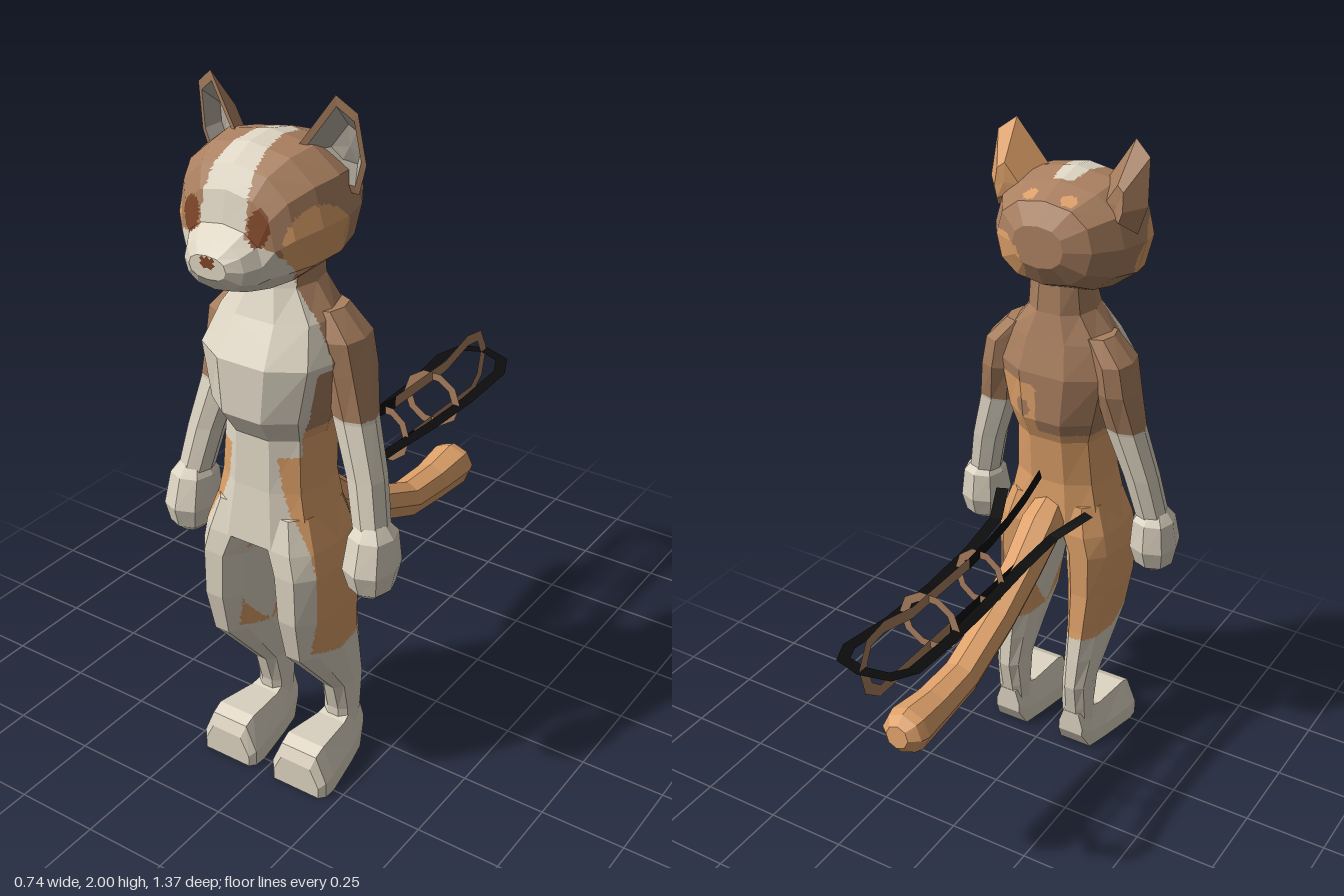
import * as THREE from 'three';

const V = (x, y, z) => new THREE.Vector3(x, y, z);
const mat = (name, color, side = THREE.FrontSide) =>
  Object.assign(new THREE.MeshStandardMaterial({ color, side }), { name });

const CREAM = 0, ORANGE = 1, BROWN = 2, DARK = 3, BLACK = 4, GREY = 5;
const MATS = [
  mat('cream', 0xddd4c2), mat('orange', 0xdda069), mat('brown', 0xaa8060, THREE.DoubleSide),
  mat('darkBrown', 0x7d4527), mat('black', 0x0c0c0c, THREE.DoubleSide), mat('earGrey', 0xb8b0a2),
];

// Rounded cross-section; e < 1 makes it boxier
function section(n, e, place) {
  return Array.from({ length: n }, (_, i) => {
    const a = (i / n) * Math.PI * 2, c = Math.cos(a), s = Math.sin(a);
    return place(Math.sign(c) * Math.abs(c) ** e, Math.sign(s) * Math.abs(s) ** e);
  });
}
const level = (n, y, cx, cz, rx, rz, e = 0.85) => section(n, e, (u, v) => V(cx + u * rx, y, cz + v * rz));

// Closed skin over rings: start cap, bands, end cap. Returns triangles facing outwards.
function loft(rings) {
  const tris = [], n = rings[0].length;
  const mid = r => r.reduce((m, p) => m.add(p), V(0, 0, 0)).divideScalar(n);
  const a = rings[0], b = rings[rings.length - 1], ma = mid(a), mb = mid(b);
  for (let i = 0; i < n; i++) tris.push([ma, a[(i + 1) % n], a[i]]);
  for (let k = 0; k + 1 < rings.length; k++) {
    const p = rings[k], q = rings[k + 1];
    for (let i = 0; i < n; i++) {
      const j = (i + 1) % n;
      tris.push([p[i], p[j], q[j]], [p[i], q[j], q[i]]);
    }
  }
  for (let i = 0; i < n; i++) tris.push([mb, b[i], b[(i + 1) % n]]);
  const volume = tris.reduce((s, [p, q, r]) => s + p.clone().sub(ma).dot(q.clone().sub(ma).cross(r.clone().sub(ma))), 0);
  return volume < 0 ? tris.map(([p, q, r]) => [p, r, q]) : tris;
}

// Faceted mesh whose coat colour follows rule(point, triangleIndex); faces are cut along colour borders
function paint(name, tris, rule, fine = 0.014) {
  const buckets = MATS.map(() => []);
  const cut = (a, b, c, i) => {
    const L = [a.distanceTo(b), b.distanceTo(c), c.distanceTo(a)], m = Math.max(...L);
    const col = rule(a.clone().add(b).add(c).divideScalar(3), i);
    const same = [a, b, c].every(p => rule(p, i) === col);
    if (m < fine || (same && m < 0.05)) {
      buckets[col].push(...a.toArray(), ...b.toArray(), ...c.toArray());
      return;
    }
    if (m === L[1]) [a, b, c] = [b, c, a];
    else if (m === L[2]) [a, b, c] = [c, a, b];
    const h = a.clone().lerp(b, 0.5);
    cut(a, h, c, i);
    cut(h, b, c, i);
  };
  tris.forEach(([a, b, c], i) => {
    if (b.clone().sub(a).cross(c.clone().sub(a)).length() > 1e-8) cut(a, b, c, i);
  });
  const geo = new THREE.BufferGeometry(), used = [];
  let start = 0;
  buckets.forEach((bk, i) => {
    if (!bk.length) return;
    geo.addGroup(start, bk.length / 3, used.length);
    start += bk.length / 3;
    used.push(MATS[i]);
  });
  geo.setAttribute('position', new THREE.Float32BufferAttribute(buckets.flat(), 3));
  geo.computeVertexNormals();
  const mesh = new THREE.Mesh(geo, used);
  mesh.name = name;
  return mesh;
}

// Whole part in one colour
function plain(name, tris, colour) {
  const geo = new THREE.BufferGeometry().setFromPoints(tris.flat());
  geo.computeVertexNormals();
  const mesh = new THREE.Mesh(geo, MATS[colour]);
  mesh.name = name;
  return mesh;
}

// Flat open ribbon along points, lying in the plane with the given normal
function ribbon(name, pts, normal, width, colour) {
  const edge = pts.map((p, i) => {
    const t = pts[Math.min(i + 1, pts.length - 1)].clone().sub(pts[Math.max(i - 1, 0)]);
    const o = normal.clone().cross(t).setLength(width / 2);
    return [p.clone().add(o), p.clone().sub(o)];
  });
  const tris = [];
  for (let i = 0; i + 1 < edge.length; i++) {
    const [a, b] = edge[i], [c, d] = edge[i + 1];
    tris.push([a, b, d], [a, d, c]);
  }
  return plain(name, tris, colour);
}

const near = (p, x, y, z, r) => Math.hypot(p.x - x, p.y - y, p.z - z) < r;

// Coat patterns
function bodyCoat(p) {
  const ax = Math.abs(p.x);
  if (p.y < 0.43 + Math.max(0, p.z - 0.42) * 0.4) return CREAM;
  if (p.y < 0.74 && ax < 0.06) return CREAM;
  if (p.z > (p.y > 1.3 ? 0.44 : p.y > 1.05 ? 0.485 : 0.525)) return CREAM;
  if (near(p, 0.19, 0.64, 0.32, 0.06) || near(p, 0.07, 1.2, 0.245, 0.03)) return BROWN;
  return p.y < (p.x > 0.02 && p.z < 0.32 ? 1.28 : 1.13) ? ORANGE : BROWN;
}
function headCoat(p) {
  const ax = Math.abs(p.x);
  if (p.z > 0.5 && ((ax - 0.1) / 0.027) ** 2 + ((p.y - 1.715) / 0.045) ** 2 < 1) return DARK;
  if (p.z > 0.62 && ax < 0.018 && Math.abs(p.y - 1.632) < 0.014) return DARK;
  if (p.z > 0.34 && p.y > 1.65 && ax < 0.03 + (p.z - 0.35) * 0.14) return CREAM;
  if (p.y < 1.69 && p.z > 0.6 - (1.66 - p.y) * 0.9) return CREAM;
  if (near(p, 0.2 * Math.sign(p.x), 1.66, 0.5, 0.1)) return ORANGE;
  if (near(p, 0.12, 1.66, 0.25, 0.08) || near(p, 0.06 * Math.sign(p.x), 1.85, 0.27, 0.025)) return ORANGE;
  return BROWN;
}

export function createModel() {
  const model = new THREE.Group();
  model.name = 'standingCat';

  // Torso and neck: height, half width, front z, back z
  const torso = [
    [1.6, 0.09, 0.43, 0.28], [1.5, 0.1, 0.48, 0.275], [1.42, 0.165, 0.515, 0.258], [1.32, 0.2, 0.58, 0.235],
    [1.17, 0.165, 0.585, 0.24], [1.1, 0.142, 0.54, 0.27], [0.95, 0.152, 0.55, 0.288], [0.79, 0.192, 0.572, 0.278],
  ].map(([y, w, f, b]) => level(10, y, 0, (f + b) / 2, w, (f - b) / 2));
  model.add(paint('torso', loft(torso), bodyCoat));

  // Head, from the back of the skull to the muzzle: z, half width, bottom, top
  const head = [
    [0.21, 0.08, 1.66, 1.78], [0.245, 0.15, 1.6, 1.84], [0.33, 0.205, 1.56, 1.872], [0.42, 0.228, 1.54, 1.89],
    [0.5, 0.21, 1.53, 1.88], [0.565, 0.175, 1.53, 1.845], [0.6, 0.14, 1.535, 1.79], [0.617, 0.115, 1.54, 1.71],
    [0.655, 0.09, 1.555, 1.68], [0.68, 0.055, 1.59, 1.65],
  ].map(([z, w, lo, hi]) => section(12, 0.85, (u, v) => V(u * w, (lo + hi) / 2 + v * (hi - lo) / 2, z)));
  model.add(paint('head', loft(head), headCoat));

  for (const s of [1, -1]) {
    const side = s > 0 ? 'left' : 'right';

    // Ear: pointed back, rim, and hollow grey inside
    const rim = [[0.08, 1.85, 0.44], [0.185, 2, 0.41], [0.237, 1.96, 0.395], [0.247, 1.83, 0.375],
      [0.222, 1.75, 0.37], [0.15, 1.78, 0.42]].map(([x, y, z]) => V(x * s, y, z));
    const ridge = V(0.17 * s, 1.82, 0.275), centre = V(0.185 * s, 1.86, 0.4);
    const back = rim.map(p => p.clone().lerp(ridge, 0.6));
    const inset = rim.map(p => p.clone().lerp(centre, 0.2));
    const dish = rim.map(p => p.clone().lerp(centre, 0.6).add(V(0, 0, -0.045)));
    const earBack = s > 0 ? ORANGE : BROWN;
    model.add(paint(side + 'Ear', loft([back, rim, inset, dish]),
      (p, i) => (i >= 30 ? GREY : i >= 18 ? BROWN : earBack), 0.03));

    // Arm with cream sleeve: height, centre x, centre z, half width, half depth
    const arm = [
      [1.44, 0.12, 0.36, 0.05, 0.06], [1.37, 0.175, 0.36, 0.058, 0.08], [1.28, 0.19, 0.36, 0.06, 0.078],
      [1.15, 0.215, 0.375, 0.06, 0.056], [1, 0.262, 0.395, 0.053, 0.052], [0.85, 0.295, 0.42, 0.048, 0.05],
    ].map(([y, x, z, rx, rz]) => level(8, y, x * s, z, rx, rz));
    model.add(paint(side + 'Arm', loft(arm), p => (p.y > 1.16 ? BROWN : CREAM)));
    const hand = [
      [0.885, 0.295, 0.42, 0.04, 0.04], [0.85, 0.298, 0.42, 0.063, 0.068], [0.76, 0.3, 0.43, 0.072, 0.084],
      [0.7, 0.302, 0.432, 0.058, 0.066], [0.675, 0.302, 0.435, 0.03, 0.035],
    ].map(([y, x, z, rx, rz]) => level(8, y, x * s, z, rx, rz));
    model.add(plain(side + 'Hand', loft(hand), CREAM));

    // Leg: height, inner x, outer x, front z, back z
    const leg = [
      [0.88, 0.005, 0.16, 0.545, 0.3], [0.79, 0, 0.193, 0.572, 0.278], [0.72, 0.032, 0.203, 0.58, 0.278],
      [0.58, 0.045, 0.2, 0.58, 0.278], [0.45, 0.058, 0.185, 0.555, 0.265], [0.35, 0.068, 0.175, 0.47, 0.252],
      [0.25, 0.074, 0.166, 0.385, 0.243], [0.16, 0.07, 0.166, 0.362, 0.26], [0.08, 0.07, 0.166, 0.362, 0.275],
    ].map(([y, a, b, f, k]) => level(10, y, s * (a + b) / 2, (f + k) / 2, (b - a) / 2, (f - k) / 2));
    model.add(paint(side + 'Leg', loft(leg), bodyCoat));

    // Foot, heel to toe: z, inner x, outer x, bottom, top
    const foot = [
      [0.265, 0.075, 0.16, 0.06, 0.14], [0.3, 0.065, 0.172, 0, 0.15], [0.37, 0.05, 0.19, 0, 0.13],
      [0.5, 0.028, 0.217, 0, 0.14], [0.535, 0.03, 0.215, 0, 0.125], [0.552, 0.045, 0.2, 0, 0.09],
    ].map(([z, a, b, lo, hi]) => [[0, 0], [1, 0], [1, 0.38], [0.82, 1], [0.18, 1], [0, 0.38]]
      .map(([u, v]) => V(s * (a + (b - a) * u), lo + (hi - lo) * v, z)));
    model.add(plain(side + 'Foot', loft(foot), CREAM));
  }

  // Tail: z, y, radius
  const path = [[0.33, 0.86, 0.05], [0.26, 0.81, 0.066], [0.15, 0.72, 0.06], [0, 0.622, 0.056], [-0.2, 0.536, 0.056],
    [-0.35, 0.525, 0.06], [-0.47, 0.53, 0.07], [-0.5, 0.532, 0.062], [-0.525, 0.535, 0.035]];
  const tail = path.map(([z, y, r], i) => {
    const a = path[Math.max(i - 1, 0)], b = path[Math.min(i + 1, path.length - 1)];
    const t = V(0, b[1] - a[1], b[0] - a[0]).normalize();
    return section(8, 1, (u, v) => V(u * r * 1.05, y + v * r * -t.z, z + v * r * t.y));
  });
  model.add(plain('tail', loft(tail), ORANGE));

  // Flat outline frame behind the back: upright loop, level loop and two hoops
  const frame = new THREE.Group();
  frame.name = 'outlineFrame';
  const up = list => list.map(([z, y]) => V(0, y, z));
  const X = V(1, 0, 0);
  frame.add(ribbon('upperRail', up([[0.25, 0.995], [0.16, 0.955], [0.06, 0.925], [-0.04, 0.907], [-0.145, 0.897]]), X, 0.038, BLACK));
  frame.add(ribbon('uprightEnd', up([[-0.145, 0.897], [-0.43, 0.897], [-0.56, 0.93], [-0.63, 0.92], [-0.66, 0.86],
    [-0.64, 0.78], [-0.59, 0.74], [-0.25, 0.74]]), X, 0.036, BROWN));
  frame.add(ribbon('lowerRail', up([[-0.25, 0.74], [0.28, 0.74]]), X, 0.036, BLACK));
  const half = [[0.15, 0.885, 0.28], [0.1, 0.855, 0.16], [0.088, 0.835, 0], [0.09, 0.82, -0.2],
    [0.096, 0.82, -0.4], [0.104, 0.84, -0.58], [0.075, 0.85, -0.645]];
  const loop = [...half.map(([x, y, z]) => V(x, y, z)), V(0, 0.855, -0.668),
    ...half.slice().reverse().map(([x, y, z]) => V(-x, y, z))];
  frame.add(ribbon('levelLoop', loop, V(0, 1, 0), 0.038, BLACK));
  for (const [z, w] of [[-0.09, 0.085], [-0.35, 0.1]]) {
    const hoop = new THREE.Mesh(new THREE.RingGeometry(0.72, 1, 10), MATS[BROWN]);
    hoop.name = 'hoop';
    hoop.scale.set(w, 0.092, 1);
    hoop.position.set(0, 0.82, z);
    frame.add(hoop);
  }
  model.add(frame);
  return model;
}
